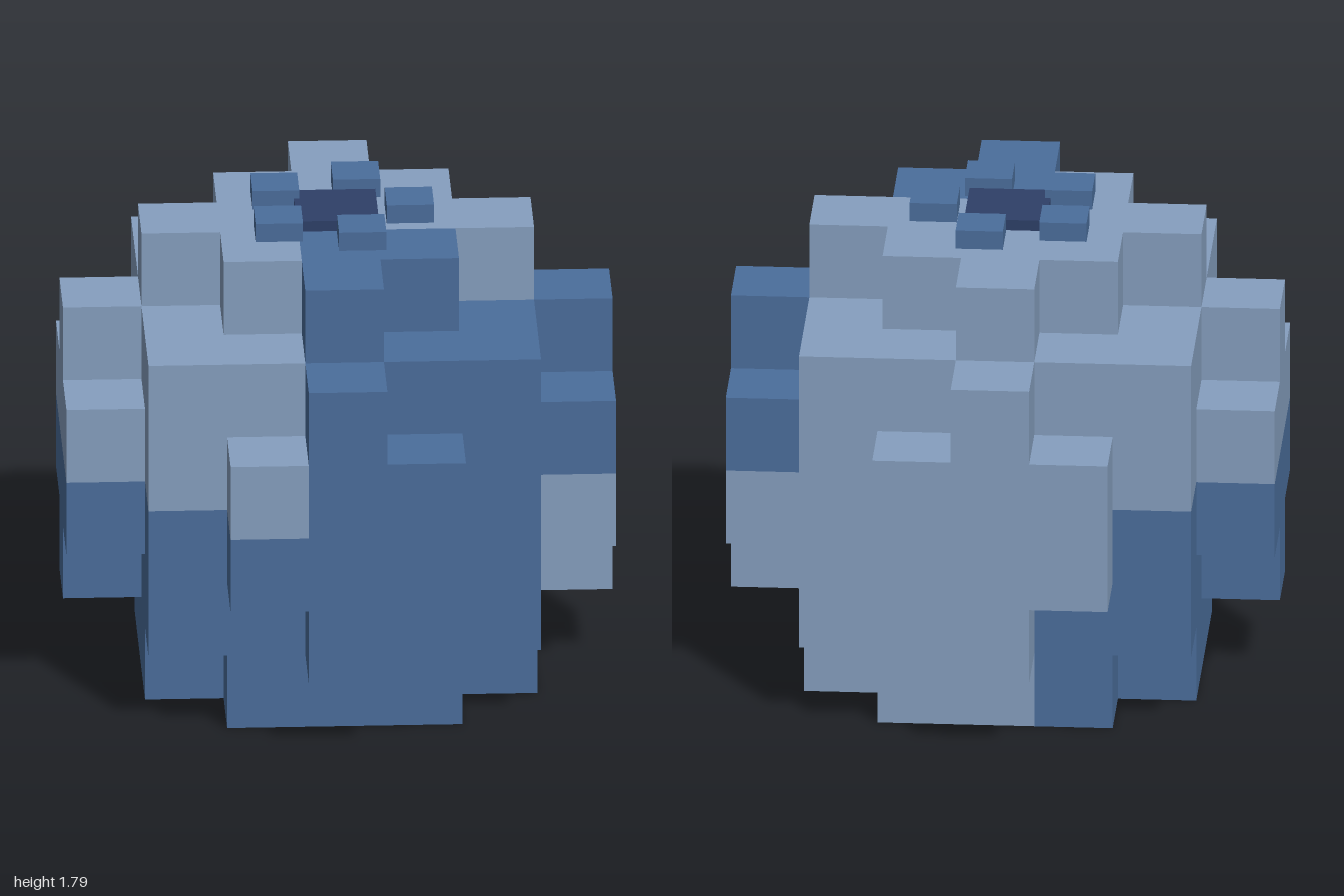
import * as THREE from 'three';

const U = 2 / 7; // one block of the grid

export function createModel() {
  const paint = (name, color) => {
    const m = new THREE.MeshStandardMaterial({ color });
    m.name = name;
    return m;
  };
  const dark = paint('deep blue', 0x4b6e9c);
  const light = paint('pale blue', 0x869fbf);
  const navy = paint('navy', 0x2e4068);

  const model = new THREE.Group();
  model.name = 'blockFruit';

  const part = (name) => {
    const g = new THREE.Group();
    g.name = name;
    model.add(g);
    return g;
  };

  // Box between two corners, measured in blocks
  const block = (parent, [x0, x1], [y0, y1], [z0, z1], material) => {
    const geo = new THREE.BoxGeometry((x1 - x0) * U, (y1 - y0) * U, (z1 - z0) * U);
    const mesh = new THREE.Mesh(geo, material);
    mesh.name = parent.name + 'Block';
    mesh.position.set((x0 + x1) * U / 2, (y0 + y1) * U / 2, (z0 + z1) * U / 2);
    parent.add(mesh);
  };

  // Cut a range at a dividing plane
  const cut = ([a, b], at) => (a < at && at < b ? [[a, at], [at, b]] : [[a, b]]);

  // Patchwork colouring: one dark quarter above, one pale quarter below
  const patchwork = (parent, xs, ys, zs) => {
    for (const x of cut(xs, -0.5)) for (const y of cut(ys, 3)) for (const z of cut(zs, 0.5)) {
      const right = x[0] >= -0.5, front = z[0] >= 0.5, upper = y[0] >= 3;
      const isDark = upper ? right && front : !(right && !front);
      block(parent, x, y, z, isDark ? dark : light);
    }
  };

  // Main body
  patchwork(part('body'), [-2.5, 2.5], [1, 5], [-2.5, 2.5]);

  // Base: square without its corners
  const base = part('base');
  patchwork(base, [-1.5, 1.5], [0, 1], [-2.5, 2.5]);
  for (const x of [[-2.5, -1.5], [1.5, 2.5]]) patchwork(base, x, [0, 1], [-1.5, 1.5]);

  // Cap: square with four arms
  const cap = part('cap');
  patchwork(cap, [-1.5, 1.5], [5, 6], [-1.5, 1.5]);
  for (const r of [[-2.5, -1.5], [1.5, 2.5]]) {
    patchwork(cap, r, [5, 6], [-0.5, 0.5]);
    patchwork(cap, [-0.5, 0.5], [5, 6], r);
  }

  // Cross-shaped bulges: tall middle column with an arm on each side
  const cross = [[[-0.5, 0.5], [1, 5]], [[-1.5, -0.5], [2, 4]], [[0.5, 1.5], [2, 4]]];
  const front = part('frontBulge'), back = part('backBulge');
  const left = part('leftBulge'), right = part('rightBulge');
  for (const [across, ys] of cross) {
    patchwork(front, across, ys, [2.5, 3.5]);
    block(back, across, ys, [-3.5, -2.5], light);
    for (const y of cut(ys, 3)) {
      const upper = y[0] >= 3;
      block(left, [2.5, 3.5], y, across, upper ? dark : light);
      block(right, [-3.5, -2.5], y, across, upper ? light : dark);
    }
  }

  // Crown: dark centre ringed by five small petals
  const crown = part('crown');
  const add = (name, w, h, x, z, material) => {
    const mesh = new THREE.Mesh(new THREE.BoxGeometry(w, h, w), material);
    mesh.name = name;
    mesh.position.set(x, 6 * U + h / 2, z);
    crown.add(mesh);
  };
  add('crownCentre', 0.3, 0.04, 0, 0, navy);
  for (let i = 0; i < 5; i++) {
    const a = (i * Math.PI * 2) / 5;
    add('petal', 0.172, 0.071, 0.267 * Math.cos(a), 0.267 * Math.sin(a), dark);
  }

  return model;
}
